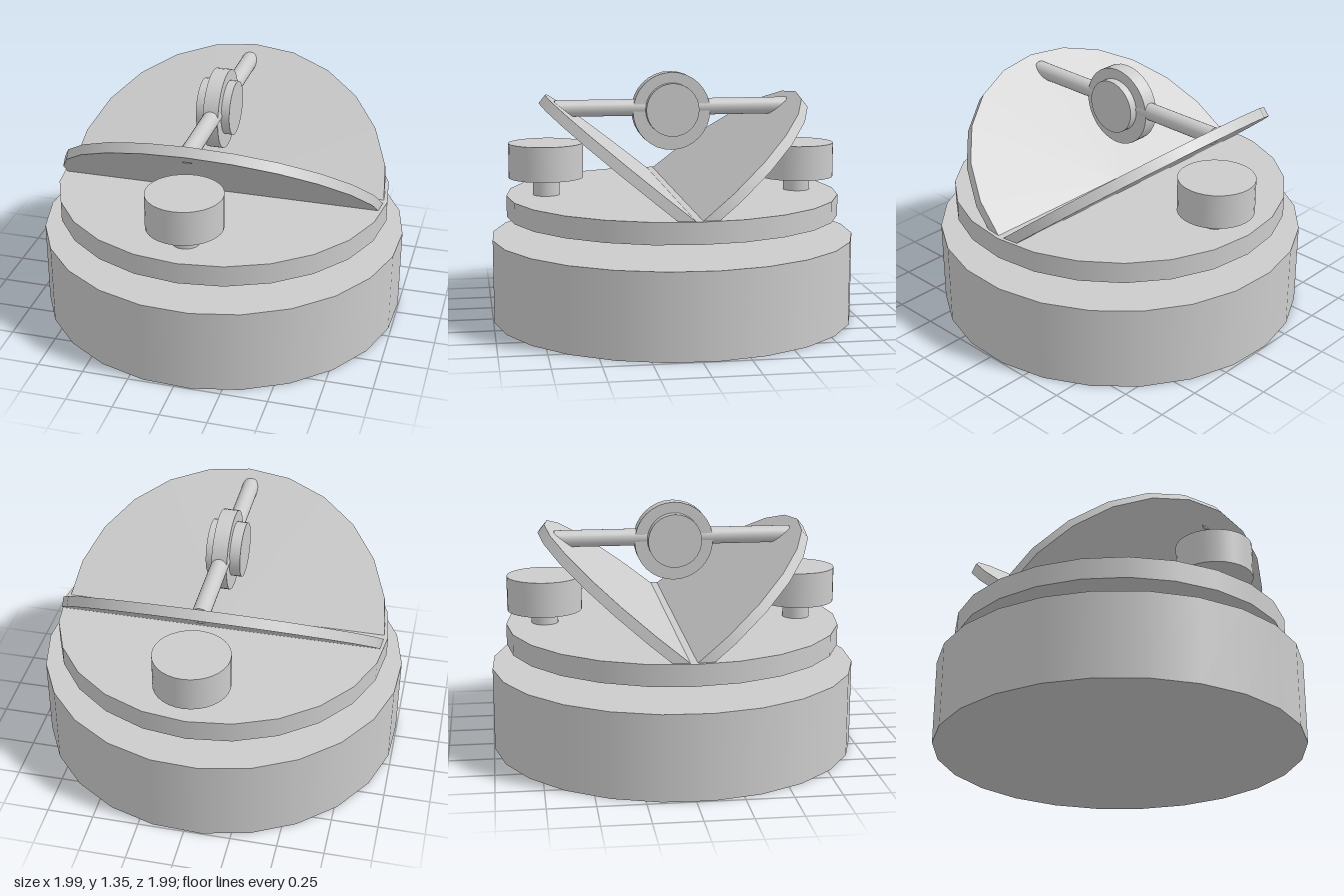
import * as THREE from 'three';

export function createModel() {
  const model = new THREE.Group();
  const material = new THREE.MeshStandardMaterial({ color: 0xcccccc });

  const add = (name, geometry, parent = model) => {
    const mesh = new THREE.Mesh(geometry, material);
    mesh.name = name;
    parent.add(mesh);
    return mesh;
  };

  // Upright cylinder between two heights
  const upright = (name, radius, y0, y1, x = 0, z = 0, sides = 32) => {
    const mesh = add(name, new THREE.CylinderGeometry(radius, radius, y1 - y0, sides));
    mesh.position.set(x, (y0 + y1) / 2, z);
    return mesh;
  };

  // Stacked base, spindle and turntable
  upright('base', 1, 0, 0.46, 0, 0, 24).rotation.y = THREE.MathUtils.degToRad(5);
  upright('spindle', 0.19, 0.46, 0.575);
  upright('turntable', 0.914, 0.575, 0.69, 0, 0, 24);

  // Knobs on short stems, the back one slightly lower
  for (const [side, x, z, y] of [['front', -0.02, 0.695, 0.785], ['back', 0.015, -0.702, 0.765]]) {
    upright(side + 'KnobStem', 0.073, 0.69, y, x + 0.005, z);
    upright(side + 'Knob', 0.204, y, y + 0.19, x, z);
  }

  // Two half-round plates leaning outwards in a V, lower edges sunk in the turntable
  const thickness = 0.056;
  const plateGeometry = new THREE.CylinderGeometry(0.895, 0.895, thickness, 12, 1, false, -Math.PI / 2, Math.PI);
  plateGeometry.translate(0, -thickness / 2, 0);
  for (const [side, turn] of [['front', 0], ['back', Math.PI]]) {
    const holder = new THREE.Group();
    holder.name = side + 'PlateHolder';
    holder.position.y = 0.675;
    holder.rotation.y = turn;
    model.add(holder);
    add(side + 'Plate', plateGeometry, holder).rotation.x = -THREE.MathUtils.degToRad(38.9);
  }

  // Crossbar joining the plates
  const bar = add('crossbar', new THREE.CylinderGeometry(0.046, 0.046, 1.29, 24));
  bar.rotation.x = Math.PI / 2;
  bar.position.set(-0.018, 1.16, 0);

  // Wheel and hub around the crossbar, axis along x
  for (const [name, radius, width, x] of [['wheel', 0.214, 0.083, -0.018], ['hub', 0.146, 0.184, -0.024]]) {
    const mesh = add(name, new THREE.CylinderGeometry(radius, radius, width, 32));
    mesh.rotation.z = Math.PI / 2;
    mesh.position.set(x, name === 'hub' ? 1.15 : 1.14, 0.004);
  }

  return model;
}
